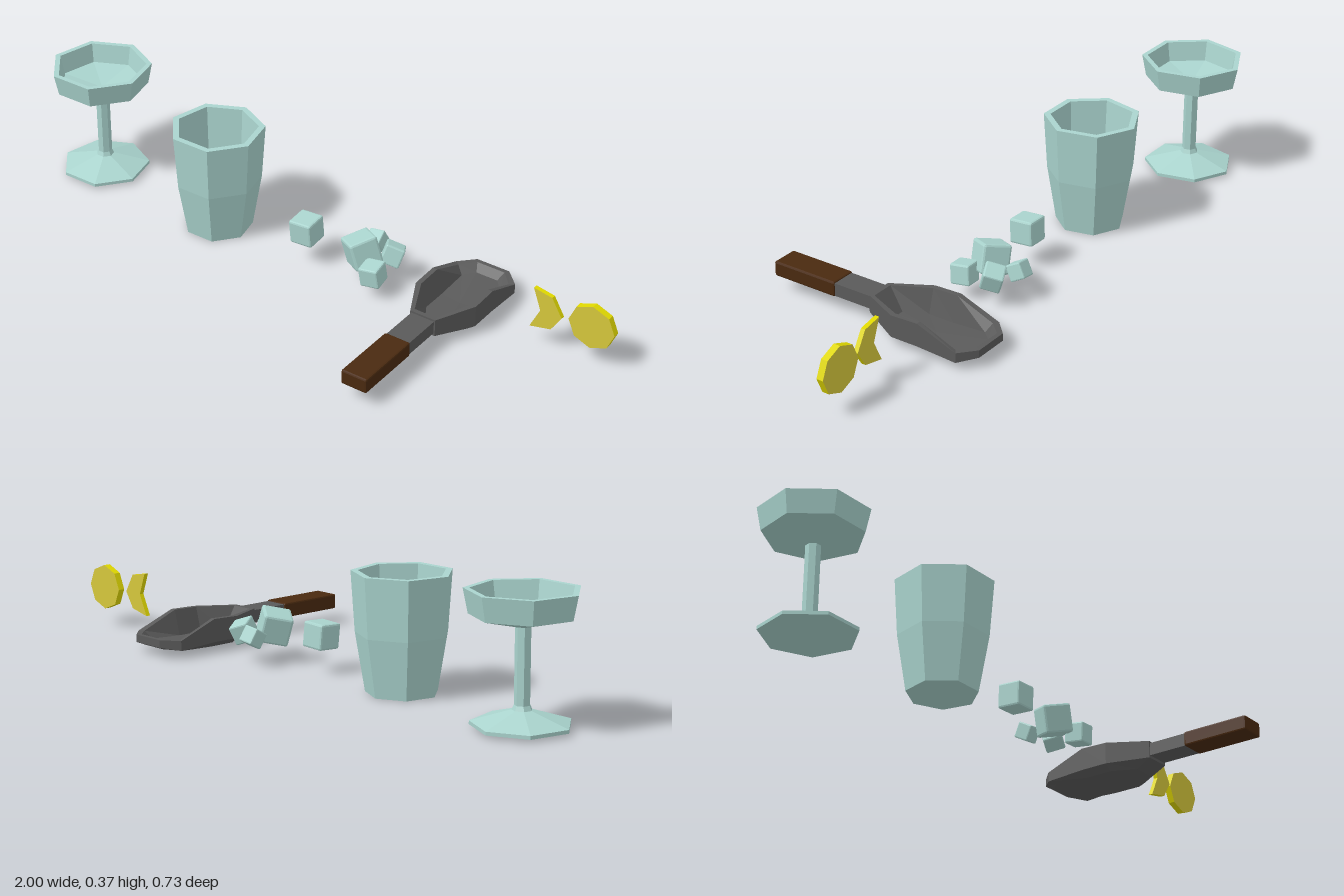
import * as THREE from 'three';
import { RoundedBoxGeometry } from 'three/addons/geometries/RoundedBoxGeometry.js';

const paint = (color) => new THREE.MeshStandardMaterial({ color, flatShading: true });

function add(parent, name, geometry, material, x = 0, y = 0, z = 0) {
  const mesh = new THREE.Mesh(geometry, material);
  mesh.name = name;
  mesh.position.set(x, y, z);
  parent.add(mesh);
  return mesh;
}

// Seven-sided turned form from [radius, height] pairs, one corner pointing back
function turned(profile) {
  return new THREE.LatheGeometry(profile.map(([r, y]) => new THREE.Vector2(r, y)), 7, Math.PI);
}

// Closed skin over mirrored half rings of [x, y, z], listed from outside bottom to inside floor
function skin(halfRings) {
  const rings = halfRings.map((half) => [...half, ...half.map(([x, y, z]) => [-x, y, z]).reverse()]);
  const n = rings[0].length;
  const index = [];
  for (let k = 0; k < rings.length - 1; k++) {
    for (let i = 0; i < n; i++) {
      const j = (i + 1) % n;
      const a = k * n + i, b = k * n + j, c = b + n, d = a + n;
      index.push(a, b, d, b, c, d);
    }
  }
  const geometry = new THREE.BufferGeometry();
  geometry.setAttribute('position', new THREE.Float32BufferAttribute(rings.flat(2), 3));
  geometry.setIndex(index);
  const flat = geometry.toNonIndexed();
  flat.computeVertexNormals();
  return flat;
}

function slice(points, depth) {
  const shape = new THREE.Shape(points.map(([x, y]) => new THREE.Vector2(x, y)));
  return new THREE.ExtrudeGeometry(shape, { depth, bevelEnabled: false });
}

export function createModel() {
  const model = new THREE.Group();
  const glass = paint(0xaad4ce);
  const steel = paint(0x5a5a5a);
  const wood = paint(0x4a2a10);
  const fruit = [paint(0xd6c83c), paint(0xe0d800)];

  // Stemmed glass: foot, stem and shallow bowl in one profile
  add(model, 'stemmedGlass', turned([
    [0, 0.008], [0.139, 0.008], [0.139, 0.018], [0.028, 0.052], [0.022, 0.065],
    [0.022, 0.274], [0.145, 0.304], [0.159, 0.372], [0.142, 0.372],
    [0.13, 0.312], [0, 0.292],
  ]), glass, -0.845, 0, -0.183);

  // Tumbler
  add(model, 'tumbler', turned([
    [0, 0], [0.105, 0], [0.134, 0.17], [0.146, 0.343], [0.126, 0.343],
    [0.116, 0.17], [0.09, 0.03], [0, 0.03],
  ]), glass, -0.35, 0, -0.132);

  // Ice cubes: size, centre, rotation
  const ice = new THREE.Group();
  ice.name = 'iceCubes';
  model.add(ice);
  [
    [0.076, [-0.016, 0.11, -0.13], [0.06, 0.03, 0.05]],
    [0.088, [0.178, 0.107, -0.138], [0.25, -0.55, 0.35]],
    [0.062, [0.247, 0.074, -0.095], [0.1, 0.12, 0.1]],
    [0.06, [0.25, 0.09, -0.195], [-0.3, 0.5, -0.2]],
    [0.05, [0.17, 0.088, -0.23], [0.5, 0.1, 0.1]],
  ].forEach(([size, centre, turn]) => {
    const cube = add(ice, 'iceCube', new RoundedBoxGeometry(size, size, size, 1, size * 0.08), glass, ...centre);
    cube.rotation.set(...turn);
  });

  // Scoop: hollow pan with a low front lip, neck and wooden grip
  const scoop = new THREE.Group();
  scoop.name = 'scoop';
  scoop.position.x = 0.495;
  model.add(scoop);
  const rim = [
    [0.042, 0.094, 0.02], [0.102, 0.098, -0.1], [0.102, 0.101, -0.19],
    [0.102, 0.053, -0.318], [0.055, 0.055, -0.363],
  ];
  const side = [0.04, 0.03, 0.03, 0.023, 0.032].map((y, i) => [rim[i][0], y, rim[i][2]]);
  const base = [
    [0.034, 0.016, -0.03], [0.078, 0.012, -0.1], [0.078, 0.012, -0.19],
    [0.078, 0.018, -0.305], [0.042, 0.022, -0.34],
  ];
  const inset = ([x, y, z]) => [x * 0.85, y, -0.17 + (z + 0.17) * 0.93];
  const middle = (y) => base.map(() => [0, y, -0.18]);
  add(scoop, 'pan', skin([
    middle(0.012), base, side, rim, rim.map(inset),
    base.map(inset).map(([x, y, z]) => [x, y + 0.012, z]), middle(0.024),
  ]), steel);
  add(scoop, 'neck', new THREE.BoxGeometry(0.076, 0.04, 0.15), steel, 0, 0.068, 0.085);
  add(scoop, 'grip', new RoundedBoxGeometry(0.084, 0.046, 0.217, 1, 0.005), wood, 0, 0.069, 0.2545);

  // Citrus wheel and crescent wedge
  const wheel = Array.from({ length: 8 }, (_, i) => {
    const a = (i * Math.PI) / 4;
    return [0.073 * Math.cos(a), 0.07 * Math.sin(a)];
  });
  add(model, 'citrusWheel', slice(wheel, 0.021), fruit, 0.927, 0.123, -0.194);
  add(model, 'citrusWedge', slice([
    [0.737, 0.055], [0.805, 0.07], [0.837, 0.12], [0.803, 0.177], [0.743, 0.188], [0.768, 0.12],
  ], 0.014), fruit, 0, 0, -0.178);

  return model;
}
